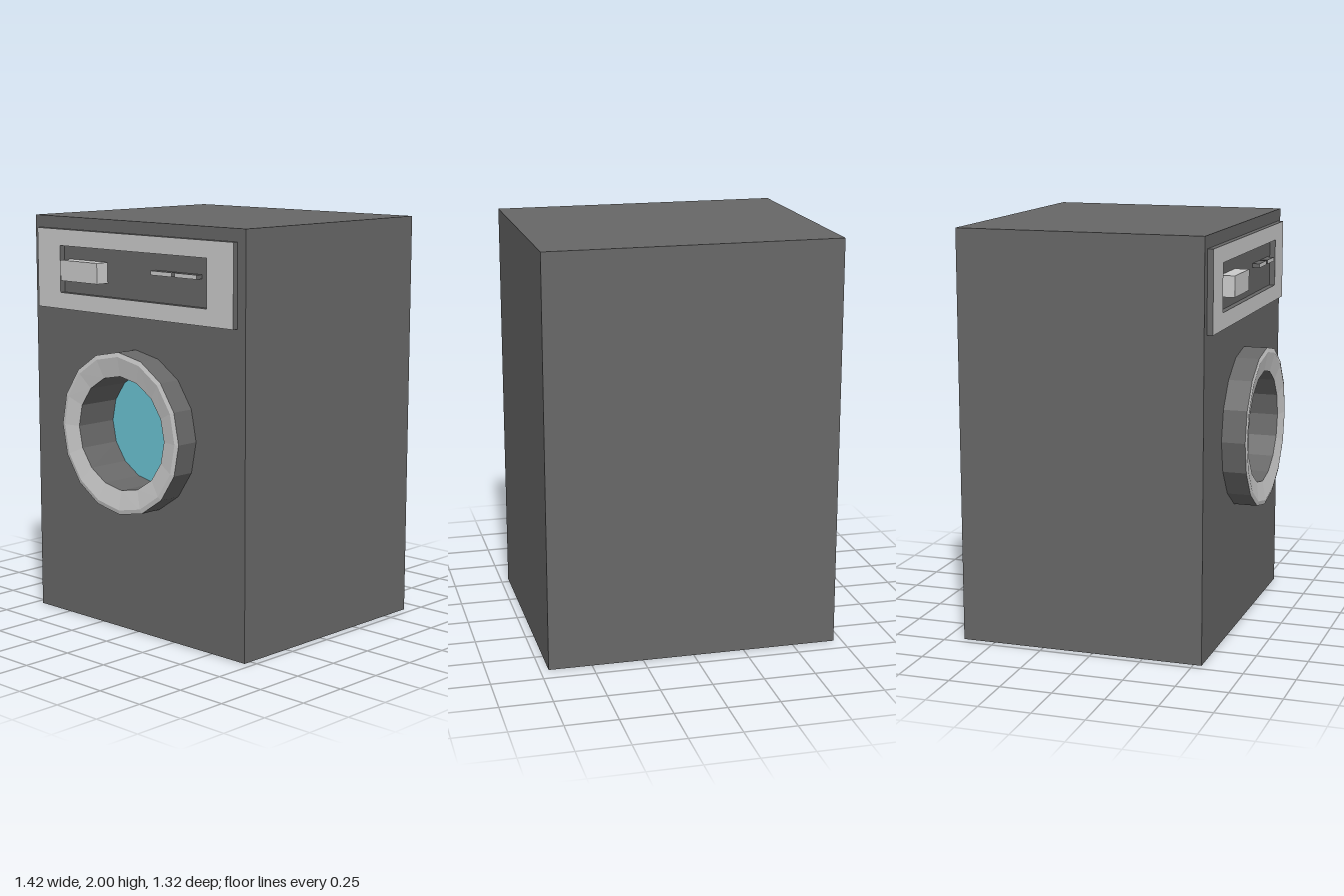
import * as THREE from 'three';

const light = new THREE.MeshStandardMaterial({ color: 0xcccccc, flatShading: true });
const dark = new THREE.MeshStandardMaterial({ color: 0x676767, flatShading: true });
const blue = new THREE.MeshStandardMaterial({ color: 0x6bc4d4, flatShading: true });

const SIDES = 16;
const DOOR_Y = 1.0;
const FACE_Z = 0.54; // cabinet front
const GLASS_Z = 0.42;

function rect(Type, x0, x1, y0, y1) {
  return new Type([[x0, y0], [x1, y0], [x1, y1], [x0, y1]].map(([x, y]) => new THREE.Vector2(x, y)));
}

function add(group, name, geometry, material) {
  const mesh = new THREE.Mesh(geometry, material);
  mesh.name = name;
  group.add(mesh);
  return mesh;
}

// Box given by its limits
function block(group, name, [x0, x1], [y0, y1], [z0, z1], material) {
  const geo = new THREE.BoxGeometry(x1 - x0, y1 - y0, z1 - z0);
  geo.translate((x0 + x1) / 2, (y0 + y1) / 2, (z0 + z1) / 2);
  return add(group, name, geo, material);
}

// Turned door part: profile of [radius, z], axis pointing forward
function turned(group, name, profile, material) {
  const geo = new THREE.LatheGeometry(profile.map(([r, z]) => new THREE.Vector2(r, z)), SIDES);
  geo.rotateX(Math.PI / 2);
  const mesh = add(group, name, geo, material);
  mesh.position.y = DOOR_Y;
  mesh.scale.y = 0.98;
  return mesh;
}

// Shape with a hole, extruded forward from z0 to z1
function holedPlate(group, name, shape, hole, z0, z1, materials) {
  shape.holes.push(hole);
  const geo = new THREE.ExtrudeGeometry(shape, { depth: z1 - z0, bevelEnabled: false, curveSegments: SIDES / 2 });
  geo.translate(0, 0, z0);
  return add(group, name, geo, materials);
}

export function createModel() {
  const model = new THREE.Group();
  model.name = 'washingMachine';

  // Cabinet: solid rear and a front wall with the round opening
  block(model, 'cabinet', [-0.71, 0.71], [0, 2], [-0.66, GLASS_Z - 0.01], dark);
  const opening = new THREE.Path();
  opening.absellipse(0, DOOR_Y, 0.31, 0.3, 0, Math.PI * 2, true);
  holedPlate(model, 'cabinetFront', rect(THREE.Shape, -0.71, 0.71, 0, 2), opening, GLASS_Z - 0.01, FACE_Z, dark);

  // Door: outer wall, dished front rim, inner wall and recessed glass
  const door = new THREE.Group();
  door.name = 'door';
  model.add(door);
  turned(door, 'doorOuterWall', [[0.4, FACE_Z - 0.01], [0.4, 0.655]], dark);
  turned(door, 'doorRim', [[0.4, 0.655], [0.378, 0.66], [0.293, 0.643]], light);
  turned(door, 'doorInnerWall', [[0.293, 0.643], [0.293, GLASS_Z - 0.005]], dark).scale.y = 0.94;
  turned(door, 'doorGlass', [[0.3, GLASS_Z], [0, GLASS_Z]], blue);
  // Pull the rim's inner edge in to meet the flatter inner wall
  const rim = door.getObjectByName('doorRim').geometry.attributes.position;
  for (let i = 0; i < rim.count; i++) {
    if (Math.hypot(rim.getX(i), rim.getY(i)) < 0.3) rim.setY(i, rim.getY(i) * 0.94 / 0.98);
  }

  // Control panel: light-faced frame with dark edges
  const panel = new THREE.Group();
  panel.name = 'controlPanel';
  model.add(panel);
  holedPlate(panel, 'panelFrame', rect(THREE.Shape, -0.665, 0.66, 1.55, 1.94),
    rect(THREE.Path, -0.5, 0.495, 1.63, 1.86), FACE_Z - 0.005, 0.568, [light, dark]);

  // Drawer handle and two indicator strips
  block(panel, 'drawerHandle', [-0.45, -0.19], [1.695, 1.795], [FACE_Z - 0.005, 0.61], light);
  const stripMaterials = [dark, dark, dark, dark, light, dark];
  [0.14, 0.3].forEach((x) => {
    block(panel, 'indicatorStrip', [x, x + 0.14], [1.76, 1.78], [FACE_Z - 0.005, 0.576], stripMaterials);
  });

  return model;
}
